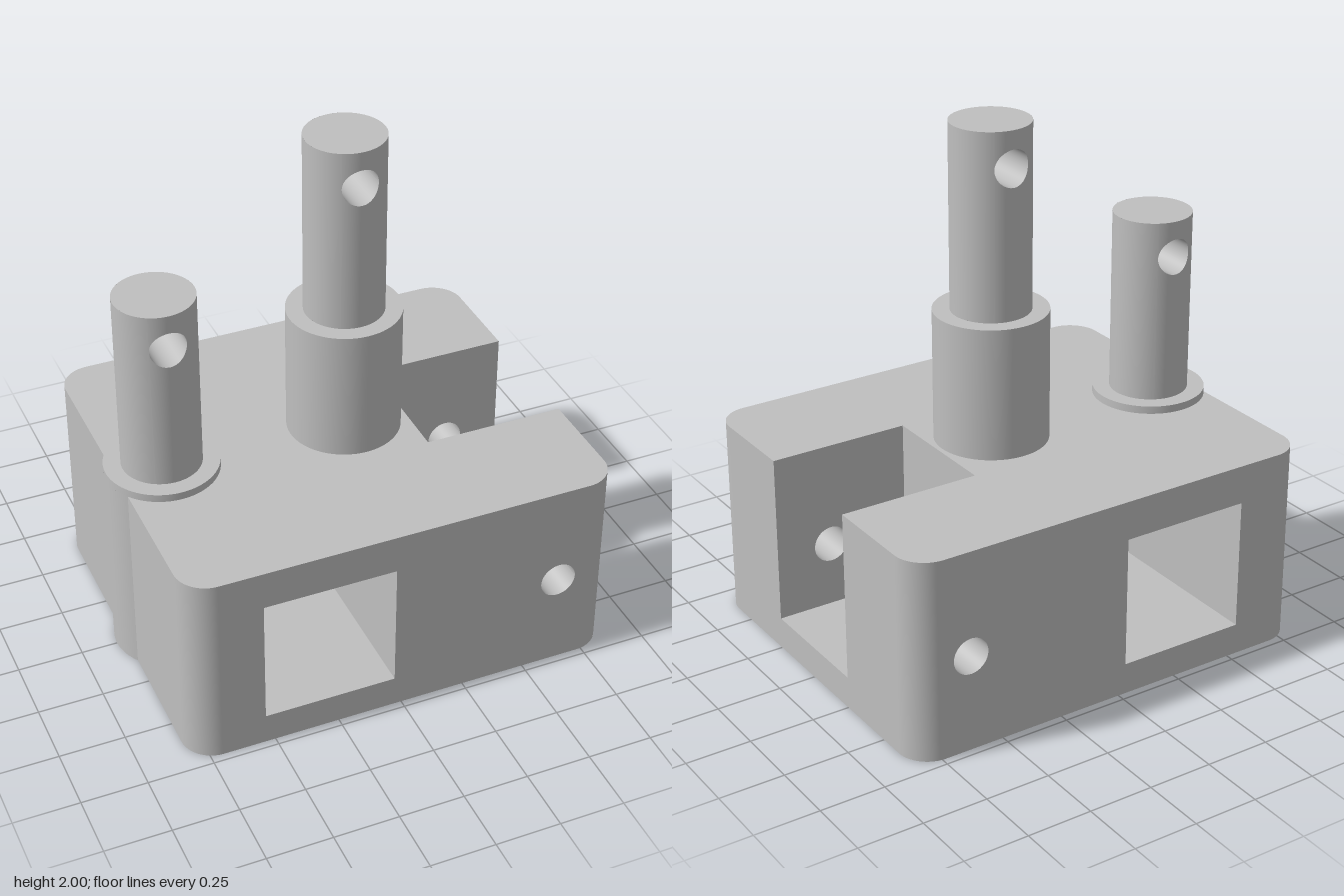
import * as THREE from 'three';

const { PI, sin, cos } = Math;
const XL = -0.82, XR = 0.855, Z = 0.72, H = 0.78, C = 0.12;   // block extents and corner radius
const SLOT = { x: 0.31, z: 0.25, y: 0.125 };
const SHAFT_R = 0.15, COLLAR_R = 0.215, HOLE_R = 0.07;
const REAR_PIN = -0.645, MAIN_PIN = 0.077;
const BULGE = Math.acos((REAR_PIN - XL) / COLLAR_R);          // half angle of the collar outside the block

// Ruled surface between two curves a(t) and b(t)
function strip(n, a, b) {
  const pos = [], idx = [];
  for (let i = 0; i <= n; i++) pos.push(...a(i / n), ...b(i / n));
  for (let i = 0; i < n; i++) {
    const k = 2 * i;
    idx.push(k, k + 2, k + 3, k, k + 3, k + 1);
  }
  const g = new THREE.BufferGeometry();
  g.setAttribute('position', new THREE.Float32BufferAttribute(pos, 3));
  g.setIndex(idx);
  g.computeVertexNormals();
  return g;
}

// Upright cylindrical wall; angles run from +z towards +x
function arcWall(cx, cz, r, y0, y1, t0, t1, n = 24) {
  const at = y => t => {
    const q = t0 + (t1 - t0) * t;
    return [cx + r * sin(q), y, cz + r * cos(q)];
  };
  return strip(n, at(y0), at(y1));
}

// Inward-facing wall of a bore along z
function bore(cx, cy, r, n, z0, z1, turn = 0) {
  const at = z => t => [cx + r * cos(turn + 2 * PI * t), cy + r * sin(turn + 2 * PI * t), z];
  return strip(n, at(z0), at(z1));
}

function ngon(cx, cy, r, n, turn = 0) {
  return Array.from({ length: n }, (_, i) => {
    const q = turn + 2 * PI * i / n;
    return new THREE.Vector2(cx + r * cos(q), cy + r * sin(q));
  });
}

const polygon = (...p) => new THREE.Shape(p.map(q => new THREE.Vector2(...q)));
const rect = (x0, x1, y0, y1) => polygon([x0, y0], [x1, y0], [x1, y1], [x0, y1]);
const face = shape => new THREE.ShapeGeometry(shape, 48);

// Copy reflected front to back, with corner order restored
function mirrorZ(geo) {
  const g = geo.clone().scale(1, 1, -1);
  const a = g.index.array;
  for (let i = 0; i < a.length; i += 3) [a[i], a[i + 1]] = [a[i + 1], a[i]];
  return g;
}

// Plan of the block: the top is notched by slot and collars, the bottom includes the collar bulge
function plan(isTop) {
  const s = new THREE.Shape();
  s.moveTo(XL + C, -Z);
  s.lineTo(XR - C, -Z);
  s.absarc(XR - C, C - Z, C, -PI / 2, 0);
  if (isTop) {
    s.lineTo(XR, -SLOT.z);
    s.lineTo(SLOT.x, -SLOT.z);
    s.lineTo(SLOT.x, SLOT.z);
    s.lineTo(XR, SLOT.z);
  }
  s.absarc(XR - C, Z - C, C, 0, PI / 2);
  s.absarc(XL + C, Z - C, C, PI / 2, PI);
  s.absarc(REAR_PIN, 0, COLLAR_R, PI - BULGE, PI + BULGE, isTop);
  s.absarc(XL + C, C - Z, C, PI, 1.5 * PI);
  if (isTop) s.holes.push(new THREE.Path(ngon(MAIN_PIN, 0, COLLAR_R, 64)));
  return s;
}

export function createModel() {
  const model = new THREE.Group();
  const grey = new THREE.MeshStandardMaterial({ color: 0xbfbfbf, side: THREE.DoubleSide });
  grey.name = 'grey';

  function group(name) {
    const g = new THREE.Group();
    g.name = name;
    model.add(g);
    return g;
  }
  function add(parent, name, geo) {
    const m = new THREE.Mesh(geo, grey);
    m.name = name;
    parent.add(m);
  }
  function addPair(parent, name, geo) {
    add(parent, name + 'Front', geo);
    add(parent, name + 'Back', mirrorZ(geo));
  }

  // Block shell
  const block = group('block');
  add(block, 'blockTop', face(plan(true)).rotateX(-PI / 2).translate(0, H, 0));
  add(block, 'blockBottom', face(plan(false)).rotateX(PI / 2));

  const window4 = [-0.2825, 0.376, 0.254 * Math.SQRT2, 4];
  const crossHole = [0.63, 0.375, HOLE_R, 48];
  const wall = rect(XL + C, XR - C, 0, H);
  wall.holes.push(new THREE.Path(ngon(...window4, PI / 4)), new THREE.Path(ngon(...crossHole)));
  addPair(block, 'longWall', face(wall).translate(0, 0, Z));
  addPair(block, 'rightSideCorner', arcWall(XL + C, Z - C, C, 0, H, -PI / 2, 0));
  addPair(block, 'leftSideCorner', arcWall(XR - C, Z - C, C, 0, H, 0, PI / 2));

  const bulgeZ = COLLAR_R * sin(BULGE);
  addPair(block, 'rightSideWall', face(rect(bulgeZ, Z - C, 0, H)).rotateY(-PI / 2).translate(XL, 0, 0));
  add(block, 'collarBulge',
    arcWall(REAR_PIN, 0, COLLAR_R, 0, H, -PI / 2 - BULGE, -PI / 2 + BULGE));
  const w = Z - C;
  add(block, 'leftSideWall', face(polygon([-w, 0], [w, 0], [w, H], [SLOT.z, H],
    [SLOT.z, SLOT.y], [-SLOT.z, SLOT.y], [-SLOT.z, H], [-w, H])).rotateY(PI / 2).translate(XR, 0, 0));

  // Open slot
  const slot = group('slot');
  add(slot, 'slotFloor',
    face(rect(SLOT.x, XR, -SLOT.z, SLOT.z)).rotateX(-PI / 2).translate(0, SLOT.y, 0));
  add(slot, 'slotEnd',
    face(rect(-SLOT.z, SLOT.z, SLOT.y, H)).rotateY(PI / 2).translate(SLOT.x, 0, 0));
  const cheek = rect(SLOT.x, XR, SLOT.y, H);
  cheek.holes.push(new THREE.Path(ngon(...crossHole)));
  addPair(slot, 'slotCheek', face(cheek).translate(0, 0, -SLOT.z));
  addPair(slot, 'crossHole', bore(...crossHole, Z, SLOT.z));

  // Square tunnel with sharp edges
  const tunnel = bore(...window4, Z, -Z, PI / 4).toNonIndexed();
  tunnel.computeVertexNormals();
  add(group('tunnel'), 'squareTunnel', tunnel);

  // Collared pins, each cross-drilled near its top
  function pin(name, x, collarTop, top, holeY) {
    const g = group(name);
    g.position.x = x;
    const R = SHAFT_R, r = HOLE_R, half = Math.asin(r / R);
    add(g, 'collarWall', arcWall(0, 0, COLLAR_R, H, collarTop, 0, 2 * PI, 64));
    add(g, 'collarTop',
      new THREE.RingGeometry(R, COLLAR_R, 64).rotateX(-PI / 2).translate(0, collarTop, 0));
    add(g, 'shaftTop', new THREE.CircleGeometry(R, 64).rotateX(-PI / 2).translate(0, top, 0));

    const onShaft = (px, y) => [px, y, Math.sqrt(R * R - px * px)];
    const level = y => t => onShaft(-r * cos(PI * t), y);
    const rim = s => t => onShaft(-r * cos(PI * t), holeY + s * r * sin(PI * t));
    for (const turn of [0, PI]) {
      add(g, 'shaftSide', arcWall(0, 0, R, collarTop, top, half, PI - half, 32).rotateY(turn));
      add(g, 'shaftBelowHole', strip(32, level(collarTop), rim(-1)).rotateY(turn));
      add(g, 'shaftAboveHole', strip(32, rim(1), level(top)).rotateY(turn));
    }
    const boreEnd = s => t => {
      const [px, y, z] = onShaft(r * cos(2 * PI * t), holeY + r * sin(2 * PI * t));
      return [px, y, s * z];
    };
    add(g, 'pinHole', strip(64, boreEnd(1), boreEnd(-1)));
  }
  pin('mainPin', MAIN_PIN, 1.29, 2, 1.86);
  pin('sidePin', REAR_PIN, 0.81, 1.52, 1.38);

  return model;
}
